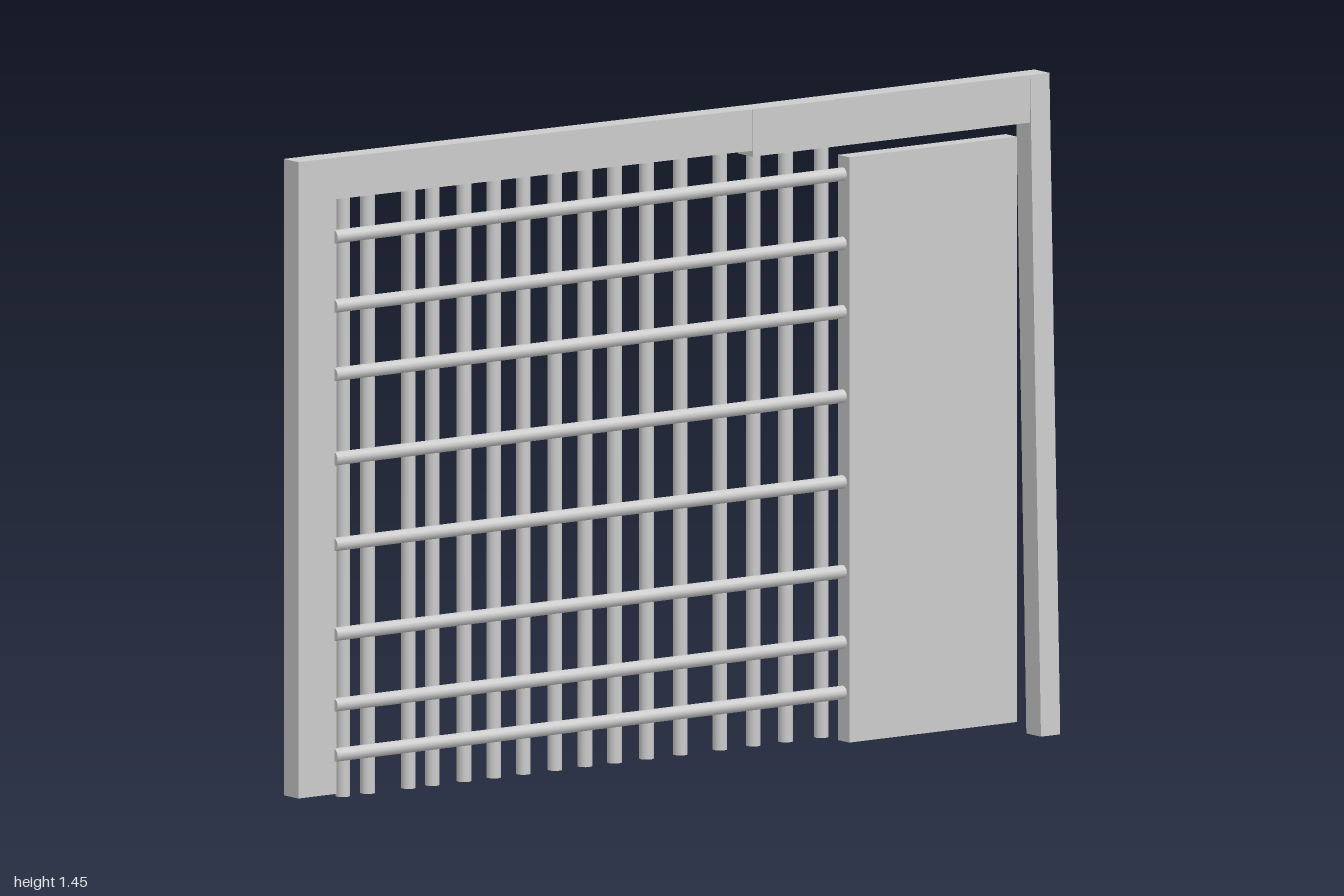
import * as THREE from 'three';

const material = new THREE.MeshStandardMaterial({ color: 0xcccccc });

// Box given by its limits, with x shifted by a linear rule to make it lean or skew
function slab(name, [x0, x1], [y0, y1], [z0, z1], shift = () => 0) {
  const geo = new THREE.BoxGeometry(x1 - x0, y1 - y0, z1 - z0);
  geo.translate((x0 + x1) / 2, (y0 + y1) / 2, (z0 + z1) / 2);
  const p = geo.attributes.position;
  for (let i = 0; i < p.count; i++) p.setX(i, p.getX(i) + shift(p.getY(i), p.getZ(i)));
  geo.computeVertexNormals();
  const mesh = new THREE.Mesh(geo, material);
  mesh.name = name;
  return mesh;
}

function rod(name, radius, length) {
  const mesh = new THREE.Mesh(new THREE.CylinderGeometry(radius, radius, length, 12), material);
  mesh.name = name;
  return mesh;
}

export function createModel() {
  const model = new THREE.Group();
  model.name = 'latticeGate';

  // Frame: upright front post, leaning rear post, two overlapping top beams
  model.add(slab('frontPost', [-0.064, -0.011], [0.05, 1.446], [0.897, 1]));
  model.add(slab('rearPost', [-0.03, 0.023], [0, 1.446], [-1, -0.948],
    (y) => 0.039 * (1 - y / 1.446)));
  model.add(slab('frontBeam', [-0.064, -0.011], [1.355, 1.446], [-0.42, 1],
    (y, z) => 0.0268 * (1 - z)));
  model.add(slab('rearBeam', [-0.031, 0.023], [1.342, 1.446], [-1, -0.2]));

  // Solid panel at the rear end
  model.add(slab('panel', [-0.031, 0.01], [0.028, 1.312], [-0.922, -0.47]));

  // Vertical bars
  const bars = new THREE.Group();
  bars.name = 'verticalBars';
  const barZ = [0.867, 0.8, 0.69, 0.626, 0.54, 0.46, 0.38, 0.295,
    0.214, 0.134, 0.048, -0.043, -0.15, -0.24, -0.327, -0.423];
  for (const z of barZ) {
    const bar = rod('verticalBar', 0.016, 1.318);
    bar.position.set(-0.029, 0.699, z);
    bars.add(bar);
  }
  model.add(bars);

  // Horizontal rails lying against the bars
  const rails = new THREE.Group();
  rails.name = 'horizontalRails';
  for (const y of [0.135, 0.245, 0.4, 0.597, 0.785, 0.97, 1.12, 1.272]) {
    const rail = rod('horizontalRail', 0.015, 1.375);
    rail.rotation.x = Math.PI / 2;
    rail.position.set(-0.014, y, 0.2155);
    rails.add(rail);
  }
  model.add(rails);

  return model;
}
